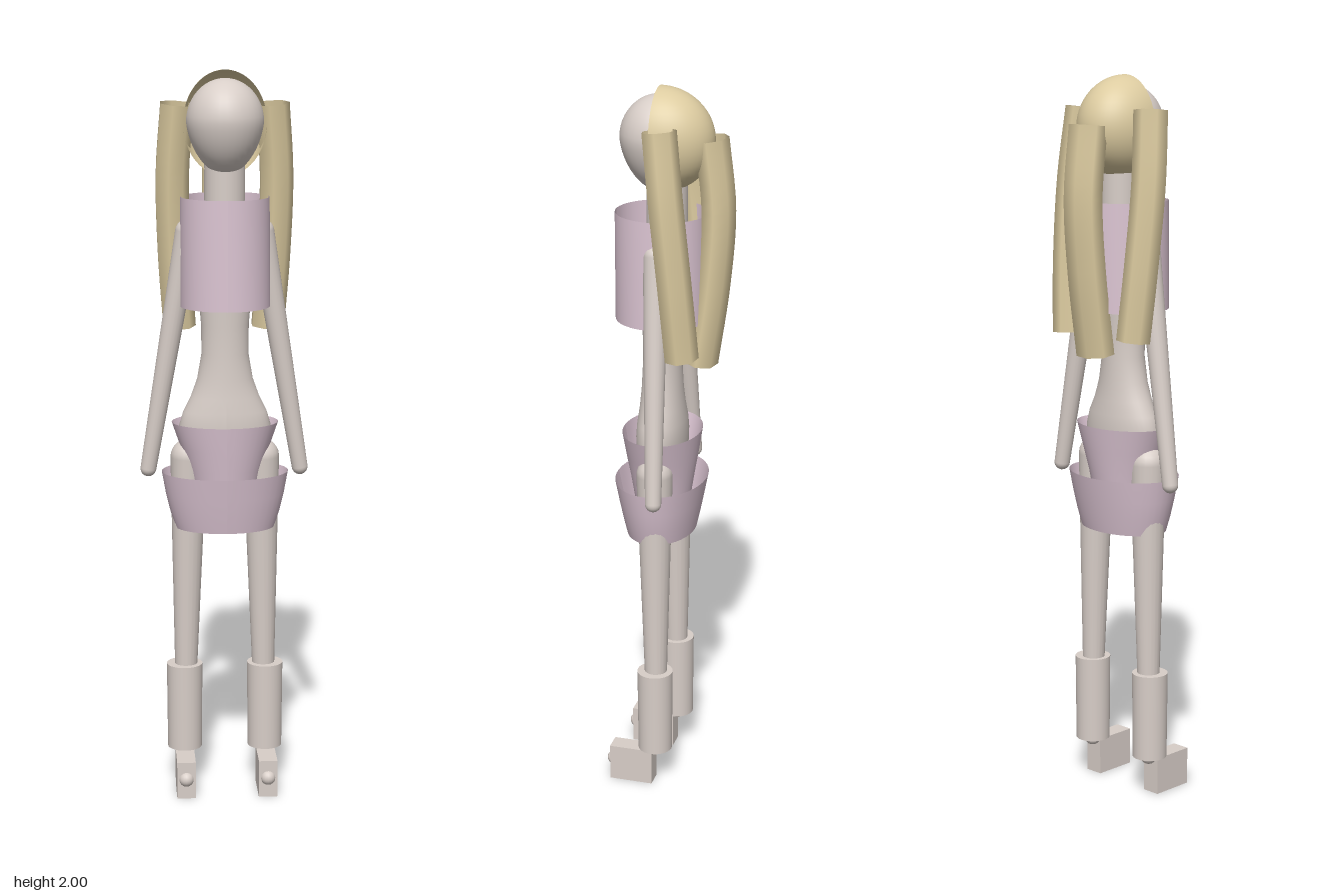
import * as THREE from 'three';

const V = (x, y, z) => new THREE.Vector3(x, y, z);

export function createModel() {
  const model = new THREE.Group();
  const material = (name, color, side = THREE.FrontSide) => {
    const m = new THREE.MeshStandardMaterial({ color, side });
    m.name = name;
    return m;
  };
  const skin = material('skin', 0xd8cec8);
  const pink = material('pink cloth', 0xdcc5d3, THREE.DoubleSide);
  const blond = material('blond hair', 0xdccba0, THREE.DoubleSide);

  const add = (name, geometry, mat, position = V(0, 0, 0)) => {
    const mesh = new THREE.Mesh(geometry, mat);
    mesh.name = name;
    mesh.position.copy(position);
    model.add(mesh);
    return mesh;
  };

  // Stacked elliptical rings: [y, radiusX, radiusZ], from bottom to top
  const loft = (rings, segments = 40) => {
    const pos = [], index = [];
    rings.forEach(([y, rx, rz], j) => {
      for (let i = 0; i <= segments; i++) {
        const a = (i / segments) * Math.PI * 2;
        pos.push(Math.sin(a) * rx, y, Math.cos(a) * rz);
        if (j && i < segments) {
          const b = j * (segments + 1) + i, c = b - segments - 1;
          index.push(c, c + 1, b, c + 1, b + 1, b);
        }
      }
    });
    const g = new THREE.BufferGeometry();
    g.setAttribute('position', new THREE.Float32BufferAttribute(pos, 3));
    g.setIndex(index);
    g.computeVertexNormals();
    return g;
  };

  // Tapered limb with rounded ends running from a to b
  const limb = (name, a, b, ra, rb) => {
    const length = a.distanceTo(b), points = [];
    for (let i = 0; i <= 6; i++) {
      const t = (i / 6) * Math.PI / 2;
      points.push(new THREE.Vector2(rb * Math.sin(t), -rb * Math.cos(t)));
    }
    for (let i = 0; i <= 6; i++) {
      const t = (i / 6) * Math.PI / 2;
      points.push(new THREE.Vector2(ra * Math.cos(t), length + ra * Math.sin(t)));
    }
    const mesh = add(name, new THREE.LatheGeometry(points, 20), skin, b);
    mesh.quaternion.setFromUnitVectors(V(0, 1, 0), a.clone().sub(b).normalize());
  };

  // Egg-shaped head, narrowing to the chin
  const head = new THREE.SphereGeometry(1, 32, 24);
  const p = head.attributes.position;
  for (let i = 0; i < p.count; i++) {
    const y = p.getY(i), k = y < 0 ? 1 + 0.14 * y : 1;
    p.setXYZ(i, p.getX(i) * 0.104 * k, y * (y < 0 ? 0.14 : 0.115), p.getZ(i) * 0.106 * k);
  }
  head.computeVertexNormals();
  add('head', head, skin, V(0, 1.863, 0.04));
  add('neck', new THREE.CylinderGeometry(0.055, 0.055, 0.24, 24), skin, V(0, 1.67, 0.02));

  // Hair cap: the rear half of an ellipsoid
  const cap = new THREE.SphereGeometry(1, 32, 24, Math.PI, Math.PI);
  cap.rotateY(Math.PI);
  if (cap.boundingBox === null) cap.computeBoundingBox();
  if (cap.boundingBox.max.z > 0.5) cap.rotateY(Math.PI);
  cap.scale(0.112, 0.14, 0.149);
  add('hairCap', cap, blond, V(0, 1.86, 0.04));

  // Hanging hair locks
  const lock = (name, points, radius, sx = 1) => {
    const g = new THREE.TubeGeometry(new THREE.CatmullRomCurve3(points), 16, radius, 7, false);
    g.scale(sx, 1, 1);
    add(name, g, blond);
  };
  lock('backLock', [V(0, 1.87, -0.1), V(0, 1.68, -0.12), V(0, 1.48, -0.107), V(0, 1.255, -0.075)], 0.046, 1.28);

  // Torso, with a slim waist and wide hips
  add('torso', loft([
    [0.84, 0.02, 0.02], [0.9, 0.095, 0.055], [0.98, 0.122, 0.065], [1.04, 0.126, 0.067], [1.08, 0.114, 0.065],
    [1.12, 0.094, 0.06], [1.17, 0.076, 0.056], [1.24, 0.064, 0.053], [1.32, 0.065, 0.053],
    [1.4, 0.072, 0.056], [1.5, 0.085, 0.058], [1.57, 0.085, 0.055], [1.62, 0.06, 0.045],
  ]), skin, V(0, 0, 0.033));

  // Open cloth bands
  add('top', loft([[1.37, 0.122, 0.125], [1.665, 0.12, 0.125]]), pink, V(0, 0, 0.035));
  add('upperSkirt', loft([[0.85, 0.088, 0.077], [0.92, 0.102, 0.088], [0.98, 0.122, 0.098], [1.05, 0.146, 0.108]]),
    pink, V(0, 0, 0.033));
  add('lowerSkirt', loft([[0.755, 0.137, 0.094], [0.8, 0.151, 0.104], [0.85, 0.163, 0.114], [0.912, 0.174, 0.126]]),
    pink, V(0, 0, 0.035));

  // Paired parts
  for (const [side, s] of [['left', 1], ['right', -1]]) {
    lock(side + 'Lock', [V(s * 0.128, 1.91, 0.006), V(s * 0.141, 1.72, -0.015),
      V(s * 0.136, 1.5, -0.037), V(s * 0.122, 1.3, -0.053)], 0.047);
    limb(side + 'Arm', V(s * 0.1, 1.57, 0.022), V(s * 0.21, 0.912, 0), 0.034, 0.022);
    limb(side + 'Leg', V(s * 0.1, 0.95, 0.028), V(s * 0.112, 0.11, 0.022), 0.05, 0.024);
    add(side + 'Boot', new THREE.CylinderGeometry(0.05, 0.048, 0.245, 28), skin, V(s * 0.113, 0.2325, 0.025));
    add(side + 'Foot', new THREE.BoxGeometry(0.052, 0.105, 0.124), skin, V(s * 0.114, 0.0525, 0.091));
    add(side + 'Toe', new THREE.SphereGeometry(0.021, 16, 12), skin, V(s * 0.114, 0.055, 0.147));
  }
  return model;
}
